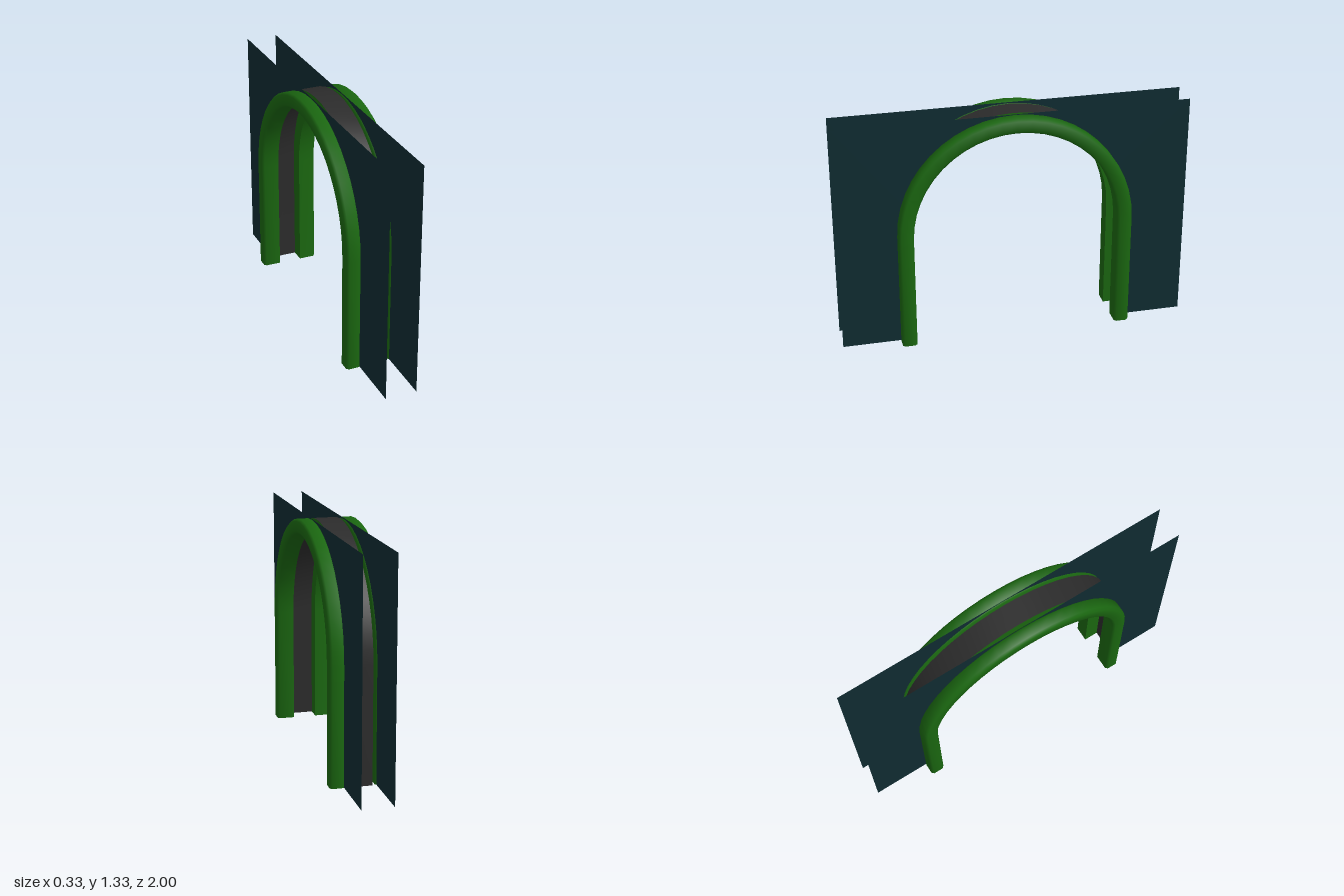
import * as THREE from 'three';
import { toCreasedNormals } from 'three/addons/utils/BufferGeometryUtils.js';

const R = 0.667;        // outer arch radius, also the height where the legs end
const INNER = 0.583;    // inner arch radius
const SEGMENTS = 24;

const material = (color) => new THREE.MeshStandardMaterial({ color, side: THREE.DoubleSide });

// Sweeps a profile of [x, radius] points up one leg, over the arch and down the other leg.
function sweepArch(profile) {
  const stations = [[0, 0]];
  for (let i = 0; i <= SEGMENTS; i++) stations.push([R, Math.PI * i / SEGMENTS]);
  stations.push([0, Math.PI]);

  const positions = [], index = [], n = profile.length;
  stations.forEach(([base, angle], i) => {
    for (const [x, r] of profile) {
      positions.push(x, base + r * Math.sin(angle), r * Math.cos(angle));
    }
    if (i === 0) return;
    for (let j = 0; j < n - 1; j++) {
      const a = (i - 1) * n + j, b = i * n + j;
      index.push(a, a + 1, b, a + 1, b + 1, b);
    }
  });
  const geometry = new THREE.BufferGeometry();
  geometry.setAttribute('position', new THREE.Float32BufferAttribute(positions, 3));
  geometry.setIndex(index);
  return toCreasedNormals(geometry, 0.9);
}

// Wall with an arched opening, drawn as a thin sheet in the zy plane.
function wallGeometry(opening) {
  const shape = new THREE.Shape();
  shape.moveTo(-1, 0);
  shape.lineTo(-opening, 0);
  shape.lineTo(-opening, R);
  shape.absarc(0, R, opening, Math.PI, 0, true);
  shape.lineTo(opening, 0);
  shape.lineTo(1, 0);
  shape.lineTo(1, 2 * R);
  shape.lineTo(-1, 2 * R);
  shape.closePath();
  return new THREE.ShapeGeometry(shape, SEGMENTS).rotateY(Math.PI / 2);
}

export function createModel() {
  const model = new THREE.Group();
  model.name = 'archedDoorway';
  const add = (name, geometry, mat) => {
    const mesh = new THREE.Mesh(geometry, mat);
    mesh.name = name;
    model.add(mesh);
    return mesh;
  };
  const green = material(0x1a6610);
  const teal = material(0x0f2b31);

  // Hollow rim with bevelled edges; a lip runs under the groove to the middle strip
  const b = 0.013;
  const rim = [
    [0.067, R], [0.067, INNER], [0.167 - b, INNER], [0.167, INNER + b],
    [0.167, R - b], [0.167 - b, R], [0.083 + b, R], [0.083, R - b], [0.083, INNER],
  ];

  for (const [side, s] of [['left', 1], ['right', -1]]) {
    const profile = rim.map(([x, r]) => [s * x, r]);
    if (s > 0) profile.reverse();
    add(side + 'Rim', sweepArch(profile), green);
    add(side + 'Wall', wallGeometry(0.63), teal).position.x = s * 0.09;
  }

  // Dark strip lining the arch between the rims
  add('middleStrip', sweepArch([[-0.067, R], [0.067, R]]), material(0x2b2b2b));

  return model;
}
